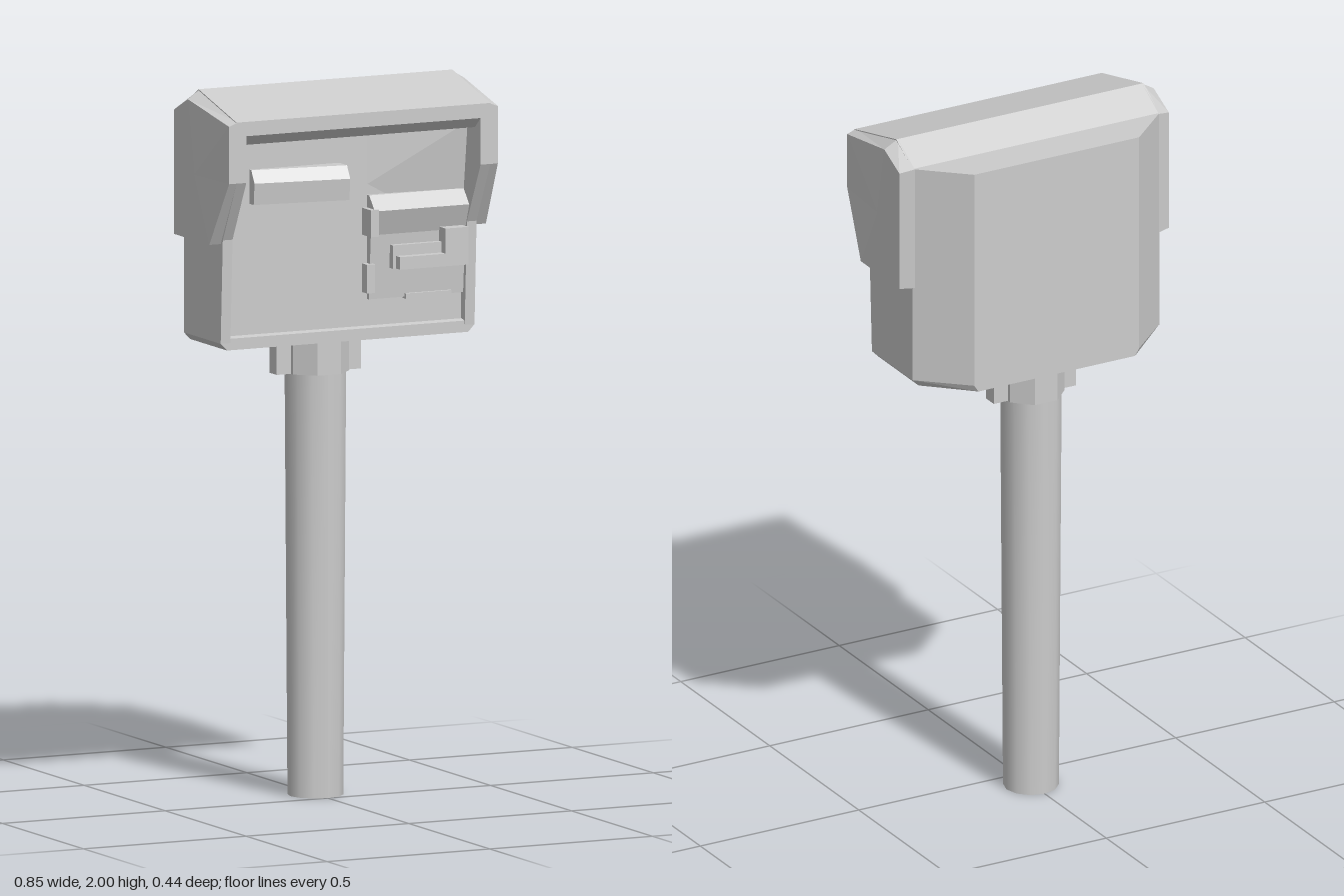
import * as THREE from 'three';

const grey = new THREE.MeshStandardMaterial({ color: 0xcccccc, flatShading: true });
const smooth = new THREE.MeshStandardMaterial({ color: 0xcccccc });
const shapeOf = pts => new THREE.Shape(pts.map(p => new THREE.Vector2(p[0], p[1])));
const extrude = (pts, depth) => new THREE.ExtrudeGeometry(shapeOf(pts), { depth, bevelEnabled: false });

export function createModel() {
  const model = new THREE.Group();
  const add = (name, geometry, material = grey, parent = model) => {
    const mesh = new THREE.Mesh(geometry, material);
    mesh.name = name;
    parent.add(mesh);
  };
  // box given by its limits on each axis
  const box = (x0, x1, y0, y1, z0, z1) =>
    new THREE.BoxGeometry(x1 - x0, y1 - y0, z1 - z0).translate((x0 + x1) / 2, (y0 + y1) / 2, (z0 + z1) / 2);
  // (z, y) profile swept across x
  const sweepX = (pts, x0, x1) => extrude(pts, x1 - x0).rotateY(-Math.PI / 2).translate(x1, 0, 0);
  // (x, z) outline raised along y
  const raiseY = (pts, y0, y1) => extrude(pts, y1 - y0).rotateX(Math.PI / 2).translate(0, y1, 0);
  // move every vertex by a rule
  const reshape = (geometry, rule) => {
    const pos = geometry.attributes.position;
    for (let i = 0; i < pos.count; i++) pos.setXYZ(i, ...rule(pos.getX(i), pos.getY(i), pos.getZ(i)));
    geometry.computeVertexNormals();
    return geometry;
  };
  // rear-chamfered plan of the housing, ending at the given front
  const plan = front => [[-0.39, front], [-0.39, -0.105], [-0.26, -0.222], [0.26, -0.222], [0.39, -0.105], [0.39, front]];

  // post: slightly wider at the top
  add('post', reshape(new THREE.CylinderGeometry(1, 1, 1.29, 12, 1),
    (x, y, z) => [x * (y > 0 ? 0.088 : 0.077), y + 0.645, z * 0.077 - 0.077]), smooth);

  // collar with two side lugs
  const collar = new THREE.Group();
  collar.name = 'collar';
  model.add(collar);
  add('collarRing', new THREE.CylinderGeometry(0.093, 0.093, 0.11, 8).rotateY(Math.PI / 8).translate(0, 1.235, -0.077), grey, collar);
  for (const s of [-1, 1]) {
    add('collarLug', box(s * 0.1 - 0.03, s * 0.1 + 0.03, 1.18, 1.29, -0.1, -0.055), grey, collar);
  }

  // housing with chamfered rear corners, on a base whose sides draw in
  add('housing', raiseY(plan(0.1), 1.31, 1.945));
  add('base', reshape(raiseY(plan(0.122), 1.29, 1.31), (x, y, z) => [y < 1.3 ? x * 0.95 : x, y, z]));

  // roof and projecting visor with a sloping brow
  add('roof', sweepX([[-0.105, 1.87], [0.185, 1.87], [0.22, 1.9], [0.22, 1.94], [-0.015, 2.0], [-0.105, 1.945]], -0.39, 0.39));

  // side cheeks and sill framing the recessed panel
  const cheek = [[0.06, 1.31], [0.122, 1.31], [0.135, 1.6], [0.22, 1.77], [0.22, 1.91], [0.06, 1.91]];
  for (const s of [-1, 1]) add('cheek', sweepX(cheek, s * 0.375 - 0.015, s * 0.375 + 0.015));
  add('sill', sweepX([[0.06, 1.31], [0.122, 1.31], [0.122, 1.322], [0.06, 1.332]], -0.365, 0.365));

  // hood flaps: inner and outer outlines joined, as [z, y, x]
  const inner = [[0.22, 1.94, 0.385], [0.22, 1.77, 0.385], [0.122, 1.588, 0.385], [-0.11, 1.588, 0.385], [-0.11, 1.945, 0.385], [-0.015, 2.0, 0.385]];
  const outer = [[0.22, 1.93, 0.413], [0.22, 1.77, 0.413], [0.122, 1.588, 0.425], [-0.095, 1.588, 0.425], [-0.095, 1.935, 0.425], [-0.01, 1.975, 0.425]];
  const flapGeometry = s => {
    const pos = [];
    const tri = (a, b, c) => (s > 0 ? [a, b, c] : [a, c, b]).forEach(v => pos.push(s * v[2], v[1], v[0]));
    outer.forEach((o, i) => {
      const j = (i + 1) % outer.length;
      tri(o, inner[j], inner[i]);
      tri(o, outer[j], inner[j]);
      tri([0.03, 1.77, 0.425], outer[j], o);
    });
    const g = new THREE.BufferGeometry();
    g.setAttribute('position', new THREE.Float32BufferAttribute(pos, 3));
    g.computeVertexNormals();
    return g;
  };
  const flapMaterial = grey.clone();
  flapMaterial.side = THREE.DoubleSide;
  for (const s of [-1, 1]) add('hoodFlap', flapGeometry(s), flapMaterial);

  // display window with a sloping face, its inner end standing further out
  add('display', reshape(sweepX([[0.09, 1.69], [0.125, 1.69], [0.13, 1.75], [0.11, 1.785], [0.09, 1.785]], -0.29, -0.015),
    (x, y, z) => [x, y, z > 0.1 ? z + (x + 0.29) * 0.14 : z]));

  // raised panel leaning out to a sloping ledge
  add('raisedPanel', sweepX([[0.09, 1.4], [0.112, 1.4], [0.125, 1.58], [0.15, 1.65], [0.115, 1.69], [0.09, 1.69]], 0.07, 0.362));
  // upper corner easing forward under the visor
  add('upperCorner', reshape(sweepX([[0.09, 1.68], [0.115, 1.68], [0.14, 1.88], [0.09, 1.88]], 0, 0.362),
    (x, y, z) => [x, y, x < 0.01 ? 0.09 : z]));

  // coin plate and bent lever
  add('coinPlate', box(0.13, 0.35, 1.485, 1.55, 0.09, 0.14));
  add('lever', extrude([[0.14, 1.485], [0.35, 1.485], [0.35, 1.59], [0.28, 1.59], [0.28, 1.52], [0.14, 1.52]], 0.07).translate(0, 0, 0.095));
  add('lowerSideBar', box(0.055, 0.08, 1.42, 1.5, 0.09, 0.132));
  add('upperSideBar', box(0.055, 0.08, 1.58, 1.655, 0.09, 0.155));
  add('tray', box(0.18, 0.32, 1.395, 1.41, 0.09, 0.122));

  return model;
}
